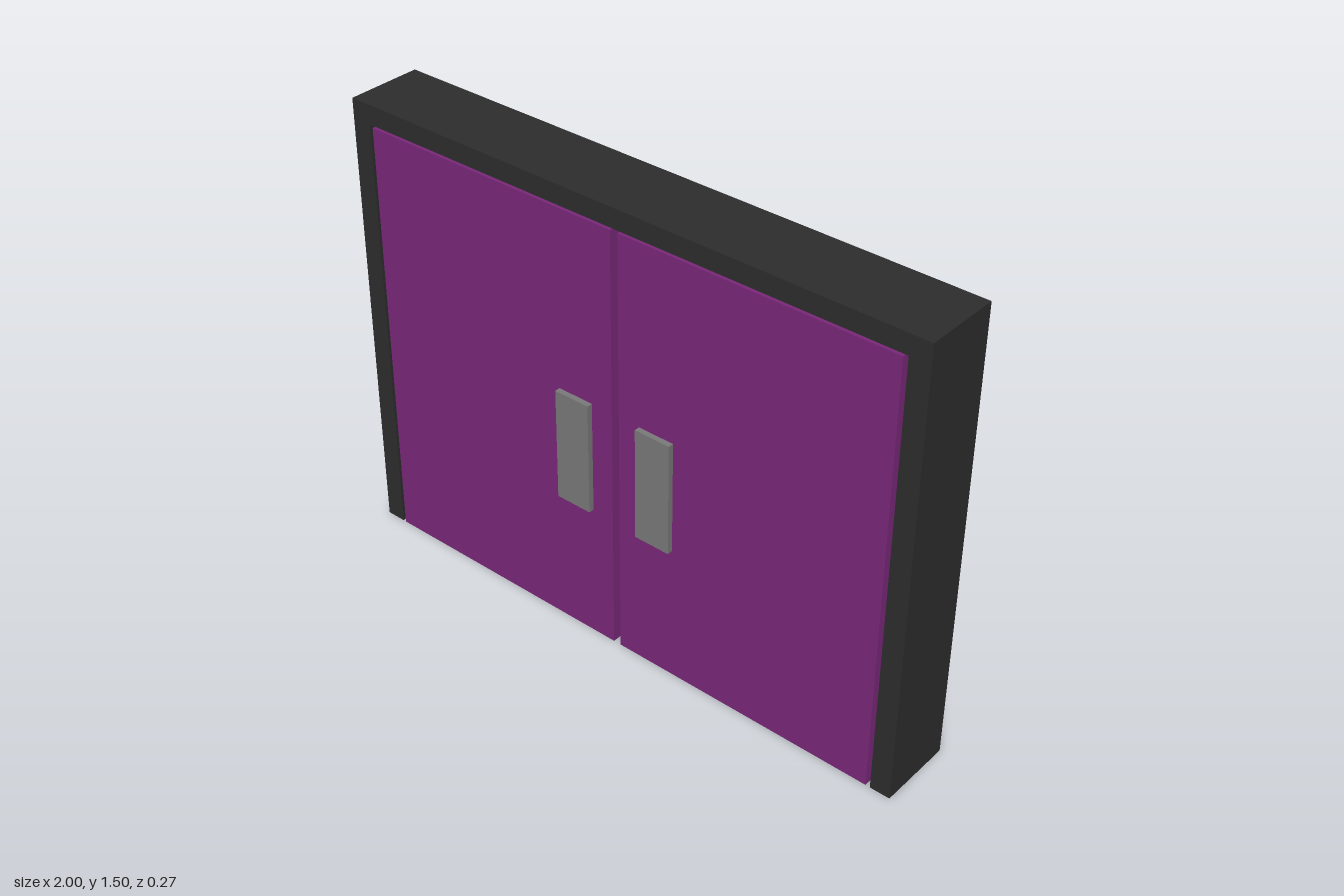
import * as THREE from 'three';

export function createModel() {
  const model = new THREE.Group();
  const material = (color) => new THREE.MeshStandardMaterial({ color });
  const frameMat = material(0x2d2d2d);
  const doorMat = material(0x7a287a);
  const handleMat = material(0x7a7a7a);

  // Box given by its lower and upper limits on each axis
  function box(name, mat, [x0, x1], [y0, y1], [z0, z1], parent = model) {
    const mesh = new THREE.Mesh(new THREE.BoxGeometry(x1 - x0, y1 - y0, z1 - z0), mat);
    mesh.position.set((x0 + x1) / 2, (y0 + y1) / 2, (z0 + z1) / 2);
    mesh.name = name;
    parent.add(mesh);
  }

  const back = -0.134, front = 0.115, doorBack = 0.062, grip = 0.0185;
  const inner = 0.934, lintel = 1.437;

  // Door frame: one arch-shaped outline, open at the floor
  const outline = new THREE.Shape([
    [-1, 0], [-inner, 0], [-inner, lintel], [inner, lintel],
    [inner, 0], [1, 0], [1, 1.5], [-1, 1.5],
  ].map(([x, y]) => new THREE.Vector2(x, y)));
  const frame = new THREE.Mesh(
    new THREE.ExtrudeGeometry(outline, { depth: front - back, bevelEnabled: false }), frameMat);
  frame.position.z = back;
  frame.name = 'doorFrame';
  model.add(frame);

  for (const side of [-1, 1]) {
    const label = side > 0 ? 'left' : 'right';
    const span = (a, b, shift = 0) => [side * a + shift, side * b + shift].sort((p, q) => p - q);

    // Stop strip on the inside of the jamb, behind the door
    box(label + 'DoorStop', frameMat, span(0.92, inner), [0, lintel], [-0.07, doorBack]);

    // Door leaf with a push plate on both faces
    const door = new THREE.Group();
    door.name = label + 'Door';
    model.add(door);
    box(label + 'DoorLeaf', doorMat, span(0.013, 0.921, -0.002), [0, 1.429], [doorBack, front], door);
    const plateX = span(0.088, 0.211, -0.002), plateY = [0.465, 0.84];
    box(label + 'FrontPlate', handleMat, plateX, plateY, [front, front + grip], door);
    box(label + 'BackPlate', handleMat, plateX, plateY, [doorBack - grip, doorBack], door);
  }
  return model;
}
